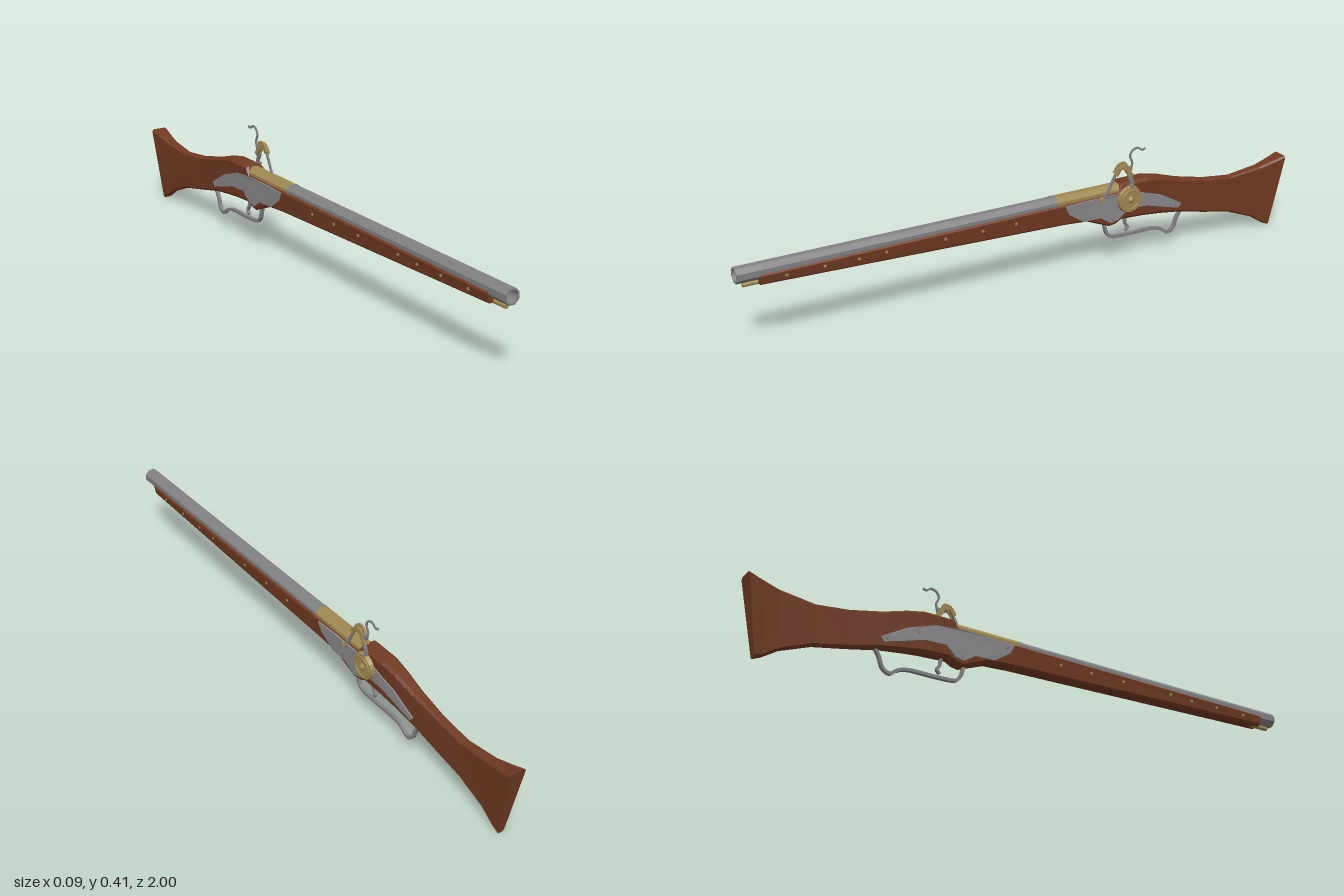
import * as THREE from 'three';

const mat = (name, color, extra = {}) => new THREE.MeshStandardMaterial({ name, color, ...extra });

// Stock stations: [zTop, zBottom, yTop, yBottom, halfWidthTop, halfWidthBottom, chamfer]
const STATIONS = [
  [0.93, 0.93, 0.258, 0.222, 0.029, 0.025, 0.006],
  [-0.1, -0.1, 0.262, 0.187, 0.03, 0.025, 0.006],
  [-0.19, -0.19, 0.262, 0.18, 0.03, 0.024, 0.006],
  [-0.28, -0.28, 0.262, 0.143, 0.031, 0.022, 0.006],
  [-0.305, -0.305, 0.264, 0.147, 0.031, 0.022, 0.006],
  [-0.32, -0.33, 0.291, 0.157, 0.031, 0.022, 0.01],
  [-0.42, -0.42, 0.292, 0.152, 0.029, 0.022, 0.01],
  [-0.48, -0.48, 0.28, 0.145, 0.025, 0.019, 0.009],
  [-0.56, -0.56, 0.256, 0.133, 0.02, 0.016, 0.008],
  [-0.67, -0.67, 0.232, 0.108, 0.015, 0.013, 0.006],
  [-0.78, -0.78, 0.219, 0.085, 0.015, 0.012, 0.006],
  [-0.9, -0.88, 0.232, 0.045, 0.019, 0.011, 0.006],
  [-0.96, -0.93, 0.247, 0.012, 0.025, 0.012, 0.006],
  [-1, -0.957, 0.258, 0, 0.03, 0.013, 0.006],
];

// Half width of the stock at a point of its side
function halfWidth(z, y) {
  let i = 0;
  while (i < STATIONS.length - 2 && STATIONS[i + 1][0] > z) i++;
  const a = STATIONS[i], b = STATIONS[i + 1];
  const t = THREE.MathUtils.clamp((a[0] - z) / (a[0] - b[0]), 0, 1);
  const [, , top, bottom, wTop, wBottom, c] = a.map((v, k) => v + (b[k] - v) * t);
  const s = THREE.MathUtils.clamp((top - c - y) / (top - bottom - 2 * c), 0, 1);
  return wTop + (wBottom - wTop) * s;
}

// Chamfered eight-sided loft through the stations
function stockGeometry() {
  const rings = STATIONS.map(([zt, zb, yt, yb, w, v, c]) => [
    [v - c, yb, zb], [v, yb + c, zb], [w, yt - c, zt], [w - c, yt, zt],
    [c - w, yt, zt], [-w, yt - c, zt], [-v, yb + c, zb], [c - v, yb, zb],
  ]);
  const pos = [];
  const tri = (...p) => p.forEach((q) => pos.push(...q));
  for (let i = 0; i < rings.length - 1; i++) {
    for (let j = 0; j < 8; j++) {
      const k = (j + 1) % 8;
      const [a, b, c, d] = [rings[i][j], rings[i][k], rings[i + 1][k], rings[i + 1][j]];
      tri(a, d, b);
      tri(b, d, c);
    }
  }
  const front = rings[0], back = rings[rings.length - 1];
  for (let k = 1; k < 7; k++) {
    tri(front[0], front[k], front[k + 1]);
    tri(back[0], back[k + 1], back[k]);
  }
  const g = new THREE.BufferGeometry();
  g.setAttribute('position', new THREE.Float32BufferAttribute(pos, 3));
  g.computeVertexNormals();
  return g;
}

// Side outline in (z, y), given a thickness along x and centred on x
function sideSlab(points, thickness, x = 0) {
  const shape = new THREE.Shape(points.map(([z, y]) => new THREE.Vector2(z, y)));
  const g = new THREE.ExtrudeGeometry(shape, { depth: thickness, bevelEnabled: false });
  return g.rotateY(-Math.PI / 2).translate(x + thickness / 2, 0, 0);
}

// Bent flat strip following a path in (z, y)
function strip(points, thick, width, x = 0, samples = 24) {
  const curve = new THREE.CatmullRomCurve3(points.map(([z, y]) => new THREE.Vector3(z, y, 0)), false, 'centripetal');
  const left = [], right = [];
  for (let i = 0; i <= samples; i++) {
    const p = curve.getPoint(i / samples), t = curve.getTangent(i / samples);
    left.push([p.x - t.y * thick / 2, p.y + t.x * thick / 2]);
    right.unshift([p.x + t.y * thick / 2, p.y - t.x * thick / 2]);
  }
  return sideSlab([...left, ...right], width, x);
}

// Disc or cone with its axis along x
const disc = (rOut, rIn, length, x, y, z, sides = 12) =>
  new THREE.CylinderGeometry(rOut, rIn, length, sides).rotateZ(-Math.PI / 2).translate(x, y, z);

export function createModel() {
  const wood = mat('walnut wood', 0x713a22, { flatShading: true });
  const steel = mat('barrel steel', 0x828285, { flatShading: true });
  const plateSteel = mat('plate steel', 0x8c8c8f, { flatShading: true });
  const brass = mat('brass', 0xa08852, { flatShading: true });

  const gun = new THREE.Group();
  gun.name = 'longGun';
  gun.position.x = -0.01;
  const add = (name, geometry, material) => {
    const m = new THREE.Mesh(geometry, material);
    m.name = name;
    gun.add(m);
    return m;
  };

  add('stock', stockGeometry(), wood);

  // Octagonal barrel: hollow muzzle, solid steel body, band and brass breech
  const BY = 0.261, R = 0.0262;
  const octagon = (r, z0, z1) => new THREE.CylinderGeometry(r, r, z1 - z0, 8)
    .rotateY(Math.PI / 8).rotateX(Math.PI / 2).translate(0, BY, (z0 + z1) / 2);
  const muzzle = new THREE.Shape();
  for (let i = 0; i < 8; i++) {
    const a = Math.PI / 8 + i * Math.PI / 4;
    muzzle[i ? 'lineTo' : 'moveTo'](R * Math.cos(a), R * Math.sin(a));
  }
  muzzle.holes.push(new THREE.Path().absarc(0, 0, 0.02, 0, Math.PI * 2, true));
  add('muzzle', new THREE.ExtrudeGeometry(muzzle, { depth: 0.08, bevelEnabled: false, curveSegments: 8 })
    .translate(0, BY, 0.92), steel);
  add('barrel', octagon(R, -0.07, 0.92), steel);
  add('barrelBand', octagon(R + 0.0015, -0.075, -0.06), steel);
  add('breech', octagon(R + 0.001, -0.315, -0.075), brass);

  // Ramrod tip below the muzzle
  add('ramrod', new THREE.CylinderGeometry(0.0075, 0.0075, 0.07, 10)
    .rotateX(Math.PI / 2).translate(0, 0.226, 0.943), brass);

  // Lock plates, bent to lie on the stock sides
  const plateOutline = [
    [-0.1, 0.256], [-0.115, 0.225], [-0.17, 0.187], [-0.24, 0.184], [-0.28, 0.158], [-0.31, 0.164],
    [-0.345, 0.195], [-0.42, 0.192], [-0.48, 0.174], [-0.555, 0.153], [-0.567, 0.168],
    [-0.48, 0.218], [-0.42, 0.238], [-0.385, 0.25], [-0.3, 0.258], [-0.19, 0.258],
  ];
  for (const [side, label] of [[1, 'left'], [-1, 'right']]) {
    const g = sideSlab(plateOutline, 0.006);
    const p = g.attributes.position;
    for (let i = 0; i < p.count; i++) p.setX(i, p.getX(i) + side * (halfWidth(p.getZ(i), p.getY(i)) + 0.001));
    g.computeVertexNormals();
    add(label + 'LockPlate', g, plateSteel);

    // Brass pins along the fore-end, steel screws on the plate
    for (const [z, y] of [[0.85, 0.24], [0.73, 0.24], [0.62, 0.238], [0.53, 0.24], [0.33, 0.238], [0.2, 0.236], [0.08, 0.234]])
      add(label + 'Pin', disc(0.005, 0.005, 0.004, side * (halfWidth(z, y) + 0.0005), y, z, 8), brass);
    for (const [z, y] of [[-0.125, 0.242], [-0.285, 0.172], [-0.44, 0.212], [-0.545, 0.166]])
      add(label + 'Screw', disc(0.005, 0.005, 0.005, side * (halfWidth(z, y) + 0.004), y, z, 8), steel);
  }

  // Wheel cover with raised rim and pointed hub
  const WY = 0.234, WZ = -0.345;
  add('wheelCover', disc(0.043, 0.047, 0.013, 0.037, WY, WZ, 20), brass);
  add('wheelRim', new THREE.TorusGeometry(0.033, 0.003, 6, 20).rotateY(Math.PI / 2).translate(0.043, WY, WZ), brass);
  add('wheelHub', disc(0.002, 0.014, 0.009, 0.0475, WY, WZ, 8), brass);

  // Cock: spring arm, jaws, pivot lever and curled handle
  add('springArm', strip([[-0.235, 0.25], [-0.26, 0.275], [-0.28, 0.315], [-0.305, 0.36]], 0.008, 0.006, 0.033), steel);
  add('springPivot', disc(0.009, 0.009, 0.012, 0.035, 0.252, -0.238, 10), brass);
  add('cockLever', strip([[-0.345, 0.26], [-0.352, 0.29], [-0.34, 0.32], [-0.345, 0.35]], 0.013, 0.007, 0.036), steel);
  add('cockPin', disc(0.005, 0.005, 0.022, 0.037, 0.281, -0.35, 8), steel);
  for (const [x, tilt] of [[0.029, 0], [0.039, -0.006]])
    add('cockJaw', strip([[-0.287, 0.335 + tilt], [-0.305, 0.358 + tilt], [-0.325, 0.36 + tilt], [-0.335, 0.335], [-0.352, 0.316]], 0.014, 0.006, x), brass);
  add('jawScrew', disc(0.008, 0.008, 0.02, 0.034, 0.352, -0.318, 8), brass);
  add('curledHandle', strip([[-0.347, 0.33], [-0.354, 0.36], [-0.345, 0.385], [-0.355, 0.403],
    [-0.375, 0.408], [-0.39, 0.398], [-0.403, 0.401]], 0.006, 0.005, 0.031), steel);

  // Trigger and guard below the stock
  add('triggerGuard', strip([[-0.268, 0.152], [-0.278, 0.115], [-0.295, 0.097], [-0.36, 0.091], [-0.47, 0.089],
    [-0.5, 0.078], [-0.525, 0.062], [-0.548, 0.075], [-0.562, 0.11], [-0.578, 0.136]], 0.01, 0.012, 0, 40), steel);
  add('trigger', strip([[-0.35, 0.165], [-0.352, 0.135], [-0.362, 0.117], [-0.352, 0.104]], 0.009, 0.009), steel);

  const root = new THREE.Group();
  root.name = 'model';
  root.add(gun);
  return root;
}
